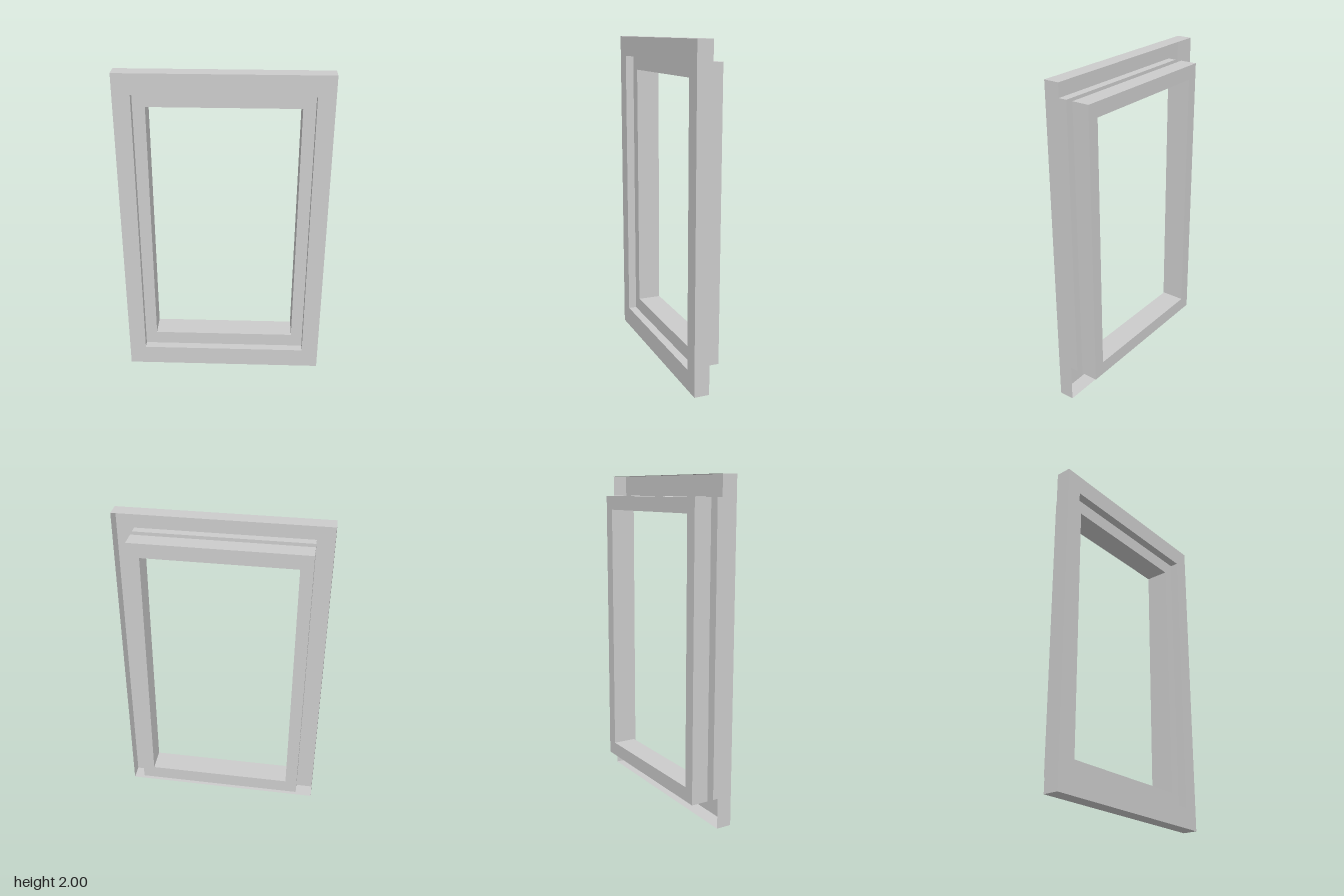
import * as THREE from 'three';

const material = new THREE.MeshStandardMaterial({
  color: 0xcccccc, flatShading: true, side: THREE.DoubleSide,
});

// Thin shell joining a series of upright rectangles: [halfWidth, bottom, top, z]
function rectShell(name, sections) {
  const loops = sections.map(([w, y0, y1, z]) => [
    [-w, y0, z], [w, y0, z], [w, y1, z], [-w, y1, z],
  ]);
  const positions = [];
  for (let s = 0; s < loops.length - 1; s++) {
    for (let i = 0; i < 4; i++) {
      const j = (i + 1) % 4;
      const a = loops[s][i], b = loops[s][j];
      const c = loops[s + 1][j], d = loops[s + 1][i];
      positions.push(...a, ...b, ...c, ...a, ...c, ...d);
    }
  }
  const geometry = new THREE.BufferGeometry();
  geometry.setAttribute('position', new THREE.Float32BufferAttribute(positions, 3));
  geometry.computeVertexNormals();
  const mesh = new THREE.Mesh(geometry, material);
  mesh.name = name;
  return mesh;
}

export function createModel() {
  const front = 0.0975, rim = 0.0045, recess = 0.046, back = -0.102;
  const outer = [0.622, 0, 2];
  const sash = [0.519, 0.128, 1.877];
  const opening = [0.446, 0.215, 1.79];

  const model = new THREE.Group();
  model.name = 'windowFrame';
  model.add(
    // Face trim with side walls, open at the back, and the step into the opening
    rectShell('outerCasing', [
      [...outer, rim], [...outer, front], [...sash, front], [...sash, recess],
    ]),
    // Recessed face, deep reveal, back face and the wall returning forward
    rectShell('innerFrame', [
      [...sash, recess], [...opening, recess], [...opening, back],
      [...sash, back], [...sash, rim],
    ]),
  );
  // The whole frame stands slightly turned
  model.rotation.y = -0.0155;
  return model;
}
